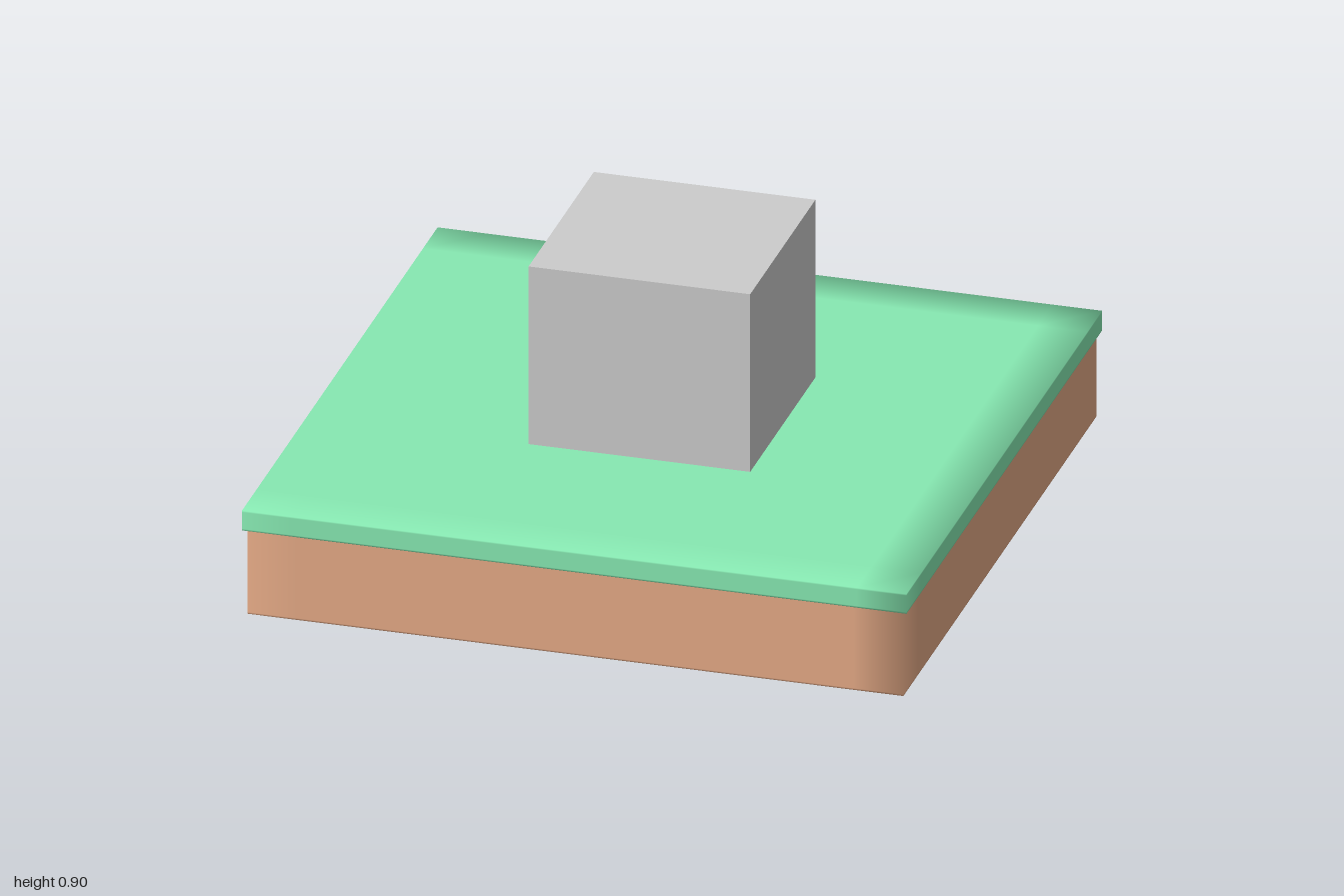
import * as THREE from 'three';

// Crisp slab whose shading rolls softly over its edges:
// a 3x3x3 grid with narrow outer bands and normals averaged along the rim.
function softSlab(name, half, bottom, top, color) {
  const geo = new THREE.BoxGeometry(1, 1, 1, 3, 3, 3);
  const pos = geo.attributes.position;
  const nor = geo.attributes.normal;
  const h = (top - bottom) / 2;
  const size = [half, h, half];
  const band = [0.15, 0.005, 0.15];
  const n = new THREE.Vector3();
  for (let i = 0; i < pos.count; i++) {
    const p = [pos.getX(i), pos.getY(i), pos.getZ(i)];
    const outer = p.map(v => Math.abs(v) > 0.4);
    n.set(...p.map((v, k) => (outer[k] ? Math.sign(v) : 0))).normalize();
    nor.setXYZ(i, n.x, n.y, n.z);
    pos.setXYZ(i, ...p.map((v, k) => Math.sign(v) * (outer[k] ? size[k] : size[k] - band[k])));
  }
  const mesh = new THREE.Mesh(geo, new THREE.MeshStandardMaterial({ color }));
  mesh.name = name;
  mesh.position.y = bottom + h;
  return mesh;
}

export function createModel() {
  const model = new THREE.Group();
  model.name = 'groundTileWithBlock';

  // Earth base and the slightly wider grass layer on it
  model.add(softSlab('earthBase', 0.987, 0, 0.27, 0xe5aa86));
  model.add(softSlab('grassLayer', 1, 0.27, 0.333, 0x87e9b2));

  // Cube partly sunk into the ground
  const side = 0.667;
  const block = new THREE.Mesh(
    new THREE.BoxGeometry(side, side, side),
    new THREE.MeshStandardMaterial({ color: 0xcccccc })
  );
  block.name = 'block';
  block.position.y = 0.9 - side / 2;
  model.add(block);

  return model;
}
